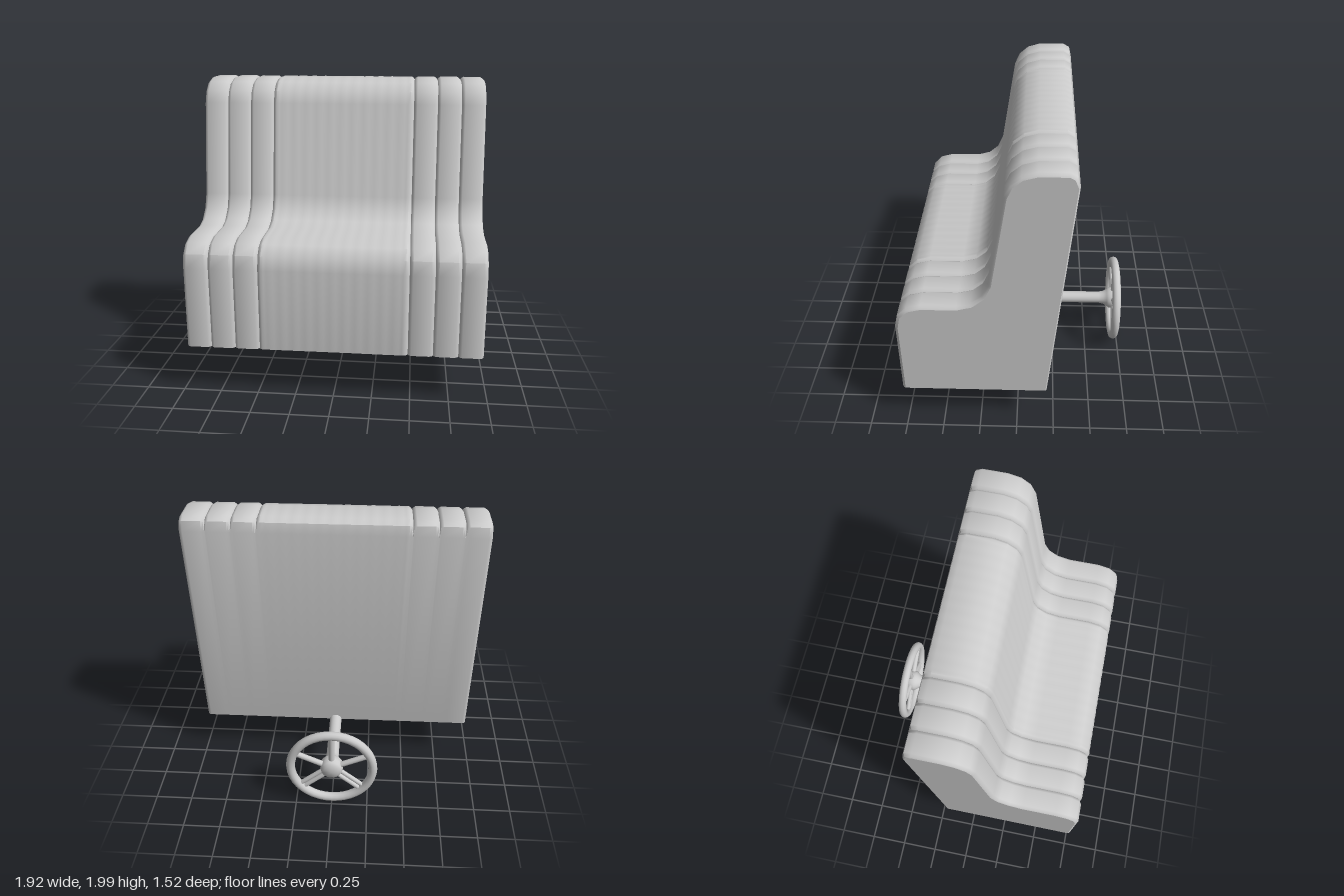
import * as THREE from 'three';
import { toCreasedNormals } from 'three/addons/utils/BufferGeometryUtils.js';

// Bench side profile as [z, y], from the front hem over the back rest to the rear hem
const PROFILE = [
  [0.76, 0.33], [0.76, 0.87], [0.74, 0.96], [0.68, 1.02], [0.59, 1.045], [0.37, 1.045],
  [0.28, 1.07], [0.21, 1.13], [0.17, 1.22], [0.07, 1.84], [0.035, 1.92], [-0.03, 1.975],
  [-0.12, 2.0], [-0.29, 2.0], [-0.335, 1.975], [-0.35, 1.91], [-0.2, 0.33],
];
const SEAMS = [-0.96, -0.8, -0.64, -0.48, 0.48, 0.64, 0.8, 0.96];

// Profile pulled inwards by d; the flat rear only moves by rear
function inset(d, rear = 0) {
  const last = PROFILE.length - 1;
  return PROFILE.map(([z, y], j) => {
    const a = PROFILE[Math.max(j - 1, 0)];
    const b = PROFILE[Math.min(j + 1, last)];
    const tz = b[0] - a[0], ty = b[1] - a[1], len = Math.hypot(tz, ty);
    const k = j >= last - 1 ? rear : d;
    return [z - (k * ty) / len, j === 0 || j === last ? y : y + (k * tz) / len];
  });
}

// Padded cover: the profile lofted along x, pinched at every seam
function coverGeometry() {
  const stations = [];
  for (let s = 0; s < SEAMS.length - 1; s++) {
    const x0 = SEAMS[s], x1 = SEAMS[s + 1];
    const end0 = s === 0 ? 0.01 : 0, end1 = s === SEAMS.length - 2 ? 0.01 : 0;
    stations.push([x0, 0.02, end0], [x0 + 0.007, 0.009, end0 * 0.4], [x0 + 0.022, 0, 0]);
    if (x1 - x0 > 0.5) {
      // Faint ribs across the wide middle panel
      for (let i = 2; i < 47; i++) {
        stations.push([x0 + (i * (x1 - x0)) / 48, 0.001 * (1 - Math.cos((i * Math.PI) / 2)), 0]);
      }
    }
    stations.push([x1 - 0.022, 0, 0], [x1 - 0.007, 0.009, end1 * 0.4]);
    if (end1) stations.push([x1, 0.02, end1]);
  }
  const positions = [], index = [], n = PROFILE.length;
  stations.forEach(([x, d, rear], i) => {
    inset(d, rear).forEach(([z, y], j) => {
      positions.push(x, y, z);
      if (i < stations.length - 1 && j < n - 1) {
        const a = i * n + j, b = a + n;
        index.push(a, b, b + 1, a, b + 1, a + 1);
      }
    });
  });
  const g = new THREE.BufferGeometry();
  g.setAttribute('position', new THREE.Float32BufferAttribute(positions, 3));
  g.setIndex(index);
  return toCreasedNormals(g, 0.75);
}

// Flat panel with the bench profile, facing +x or -x
function sidePanel(x, d, rear) {
  const side = Math.sign(x);
  const shape = new THREE.Shape(inset(d, rear).map(([z, y]) => new THREE.Vector2(-side * z, y)));
  return new THREE.ShapeGeometry(shape).rotateY((side * Math.PI) / 2).translate(x, 0, 0);
}

export function createModel() {
  const model = new THREE.Group();
  const grey = new THREE.MeshStandardMaterial({ color: 0xcccccc, side: THREE.DoubleSide });
  grey.name = 'light grey';
  const add = (parent, name, geometry) => {
    const mesh = new THREE.Mesh(geometry, grey);
    mesh.name = name;
    parent.add(mesh);
    return mesh;
  };

  // Bench shell, open underneath
  const bench = new THREE.Group();
  bench.name = 'bench';
  model.add(bench);
  add(bench, 'paddedCover', coverGeometry());
  for (const side of [-1, 1]) {
    add(bench, 'endPanel', sidePanel(side * 0.96, 0.02, 0.01));
    add(bench, 'innerPartition', sidePanel(side * 0.4, 0.01, 0.005));
  }

  // Steering wheel behind the bench
  const wheel = new THREE.Group();
  wheel.name = 'steeringWheel';
  wheel.position.set(0, 0.326, -0.71);
  model.add(wheel);
  add(wheel, 'rim', new THREE.TorusGeometry(0.284, 0.031, 12, 40));

  // Column flaring into the domed hub, as [radius, distance behind z = -0.2]
  const column = [
    [0, 0], [0.043, 0], [0.043, 0.4], [0.05, 0.435], [0.065, 0.46], [0.078, 0.475],
    [0.078, 0.515], [0.07, 0.54], [0.05, 0.554], [0, 0.56],
  ].map(([r, h]) => new THREE.Vector2(r, h));
  const columnGeometry = toCreasedNormals(new THREE.LatheGeometry(column, 24), 0.75);
  columnGeometry.rotateX(-Math.PI / 2).translate(0, 0, 0.51);
  add(wheel, 'columnAndHub', columnGeometry);

  // Three single upper spokes and two paired lower spokes
  const spoke = (degrees, offset, radius) => {
    const g = new THREE.CylinderGeometry(radius, radius, 0.24, 10, 1, true);
    g.translate(offset, 0.16, 0).rotateZ(THREE.MathUtils.degToRad(degrees - 90));
    add(wheel, 'spoke', g);
  };
  for (const angle of [90, 25, 155]) spoke(angle, 0, 0.02);
  for (const angle of [-40, -140]) {
    for (const offset of [-0.018, 0.018]) spoke(angle, offset, 0.016);
  }
  return model;
}
